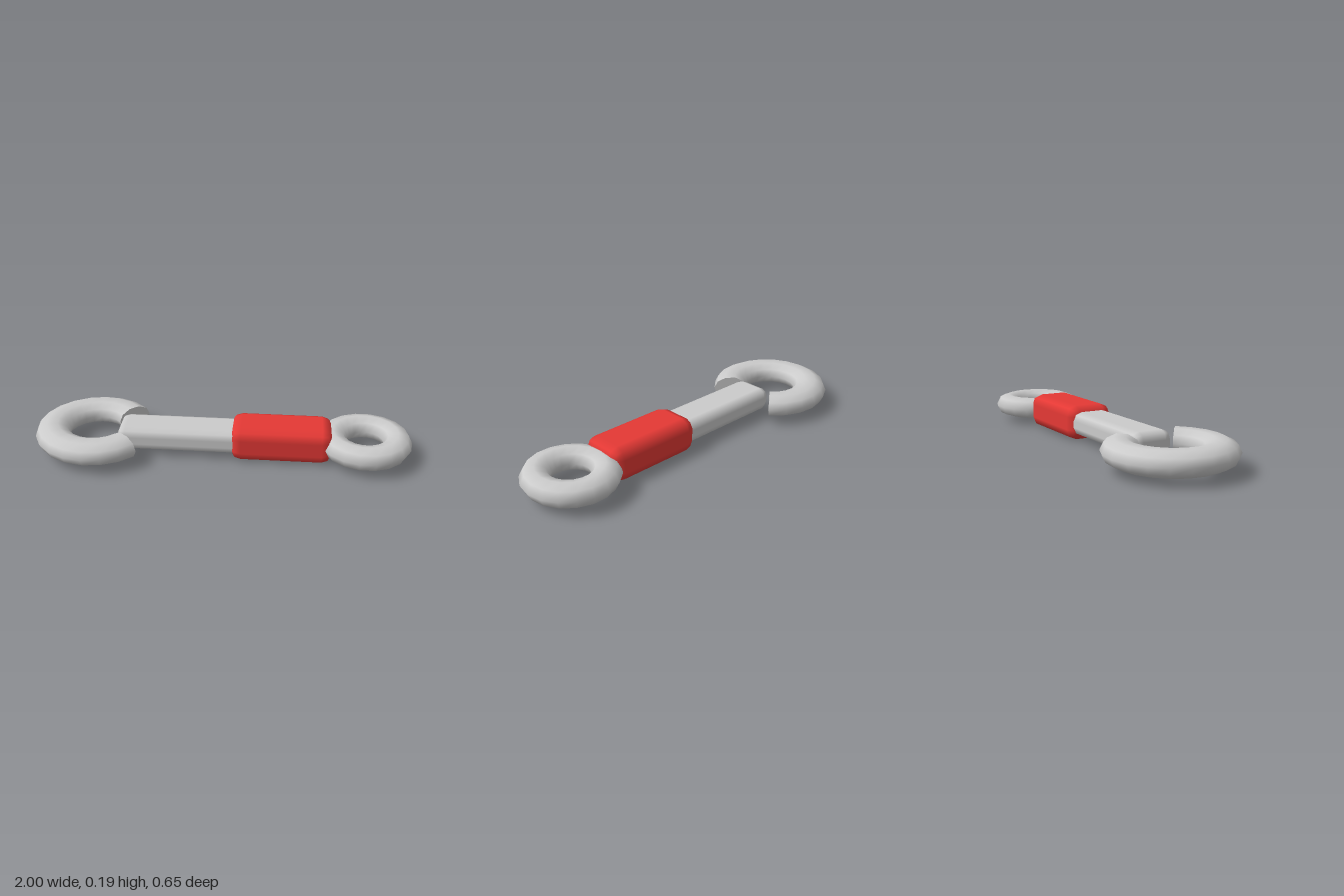
import * as THREE from 'three';
import { RoundedBoxGeometry } from 'three/addons/geometries/RoundedBoxGeometry.js';
import { mergeGeometries } from 'three/addons/utils/BufferGeometryUtils.js';

const MID_Y = 0.094;        // height of the tool's centre plane
const HALF_THICK = 0.061;   // half thickness of both rings

const steel = new THREE.MeshStandardMaterial({ color: 0xcccccc });
const red = new THREE.MeshStandardMaterial({ color: 0xe53935 });

// Flattened ring lying flat, with an optional capped gap facing +x (half angle in radians)
function ringGeometry(radius, tube, sides, segments, halfGap = 0) {
  const arc = Math.PI * 2 - halfGap * 2;
  const parts = [new THREE.TorusGeometry(radius, tube, sides, segments, arc).rotateZ(halfGap)];
  if (halfGap > 0) {
    for (const s of [1, -1]) {
      parts.push(new THREE.CircleGeometry(tube, sides)
        .rotateX(s * Math.PI / 2)
        .translate(radius, 0, 0)
        .rotateZ(s * halfGap));
    }
  }
  const flatten = HALF_THICK / (tube * (sides % 4 ? Math.sin(Math.PI * 0.4) : 1));
  return mergeGeometries(parts).scale(1, 1, flatten).rotateX(Math.PI / 2);
}

// Bar along x with chamfer-like rounded edges
function barGeometry(x0, x1, height, depth, radius) {
  return new RoundedBoxGeometry(x1 - x0, height, depth, 1, radius).translate((x0 + x1) / 2, 0, 0);
}

export function createModel() {
  const model = new THREE.Group();
  model.name = 'wrench';

  const add = (name, geometry, material, x = 0) => {
    const mesh = new THREE.Mesh(geometry, material);
    mesh.name = name;
    mesh.position.set(x, MID_Y, 0);
    model.add(mesh);
  };

  // Open jaw, handle shaft, grip sleeve and closed ring end
  add('openJaw', ringGeometry(0.232, 0.0925, 10, 16, THREE.MathUtils.degToRad(40)), steel, -0.675);
  add('shaft', barGeometry(-0.55, 0.4, 0.126, 0.216, 0.045), steel);
  add('grip', barGeometry(0.048, 0.583, 0.186, 0.256, 0.057), red);
  add('ringEnd', ringGeometry(0.17, 0.075, 8, 18), steel, 0.752);

  return model;
}
